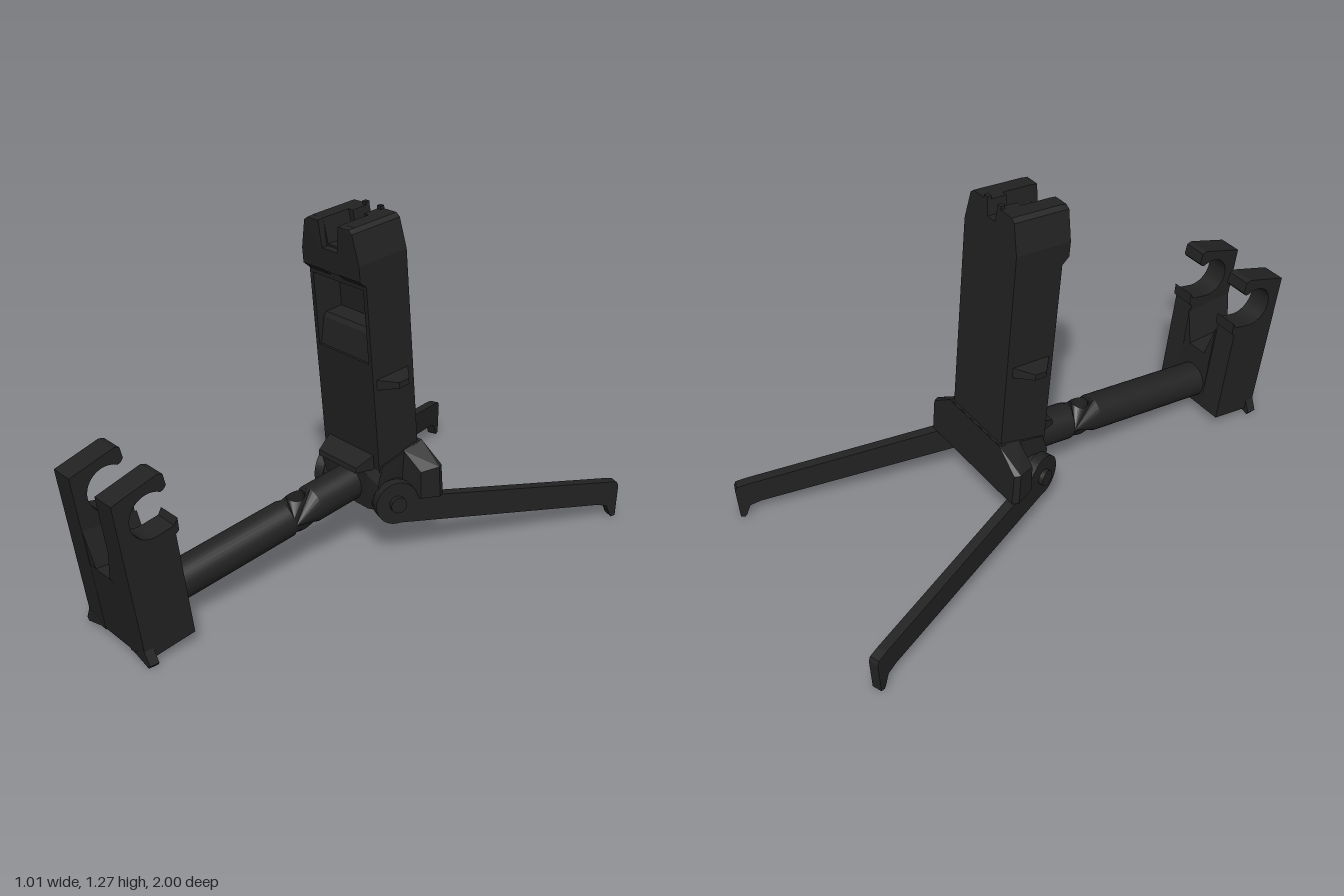
import * as THREE from 'three';
import { ConvexGeometry } from 'three/addons/geometries/ConvexGeometry.js';

const black = new THREE.MeshStandardMaterial({ color: 0x222222 });
black.name = 'matte black';

const V = (x, y, z) => new THREE.Vector3(x, y, z);

function add(parent, name, geometry) {
  const mesh = new THREE.Mesh(geometry, black);
  mesh.name = name;
  parent.add(mesh);
  return mesh;
}

const polygon = pts => new THREE.Shape(pts.map(p => new THREE.Vector2(p[0], p[1])));
const slab = (shape, z0, z1) =>
  new THREE.ExtrudeGeometry(shape, { depth: z1 - z0, bevelEnabled: false, curveSegments: 16 }).translate(0, 0, z0);
// Profile drawn in (z, y), extruded across x
const sideSlab = (shape, x0, x1) => slab(shape, 0, x1 - x0).rotateY(-Math.PI / 2).translate(x1, 0, 0);
// Convex block from points, repeated on both sides of x = 0
const symmetricHull = pts => new ConvexGeometry(pts.flatMap(p => [V(...p), V(-p[0], p[1], p[2])]));
const sideHull = (pts, s) => new ConvexGeometry(pts.map(p => V(p[0] * s, p[1], p[2])));

// Front cradle: two hooked arms on a solid block
function cradle() {
  const g = new THREE.Group();
  g.name = 'frontCradle';
  const arm = new THREE.Shape();
  arm.moveTo(0.912, 0.02);
  [[1.0, 0.6], [0.835, 0.655], [0.815, 0.65], [0.805, 0.61], [0.815, 0.597]].forEach(p => arm.lineTo(...p));
  arm.absarc(0.863, 0.524, 0.078, 2.06, -1.85, true);
  [[0.782, 0.462], [0.77, 0.485], [0.766, 0.44], [0.778, 0.43], [0.725, 0.053]].forEach(p => arm.lineTo(...p));
  arm.closePath();
  const block = polygon([[0.912, 0.025], [0.951, 0.28], [0.752, 0.28], [0.726, 0.053]]);
  add(g, 'cradleBlock', sideSlab(block, -0.075, 0.075));
  for (const s of [-1, 1]) {
    add(g, 'hookArm', s > 0 ? sideSlab(arm, 0.075, 0.165) : sideSlab(arm, -0.165, -0.075));
    // Sloping sides of the slot between the arms
    add(g, 'slotGusset', sideHull([
      [0.076, 0.41, 0.97], [0.076, 0.28, 0.95], [0.04, 0.28, 0.95],
      [0.076, 0.41, 0.767], [0.076, 0.28, 0.752], [0.04, 0.28, 0.752]], s));
    // Flared skid at the front bottom edge
    add(g, 'skid', sideHull([
      [0.16, 0.07, 0.92], [0.188, 0.015, 0.915], [0.18, 0.004, 0.915], [0.1, 0.024, 0.915],
      [0.16, 0.07, 0.885], [0.188, 0.015, 0.88], [0.18, 0.004, 0.88], [0.1, 0.03, 0.88]], s));
  }
  return g;
}

// Round tube with a cross-drilled hole
function tube() {
  const g = new THREE.Group();
  g.name = 'connectingTube';
  g.position.set(0, 0.225, 0.165);
  g.rotation.x = 0.153;
  const r = 0.068, half = 0.06;
  const cyl = (z0, z1) => new THREE.CylinderGeometry(r, r, z1 - z0, 32).rotateX(Math.PI / 2).translate(0, 0, (z0 + z1) / 2);
  add(g, 'tubeFront', cyl(half, 0.62));
  add(g, 'tubeRear', cyl(-0.27, -half));
  // Drilled section: flat plate with a hole, swollen to a round section
  const outline = [];
  for (let i = 0; i <= 16; i++) outline.push([-r * Math.cos(i * Math.PI / 16), -half]);
  for (let i = 0; i <= 16; i++) outline.push([r * Math.cos(i * Math.PI / 16), half]);
  const shape = polygon(outline);
  shape.holes.push(new THREE.Path().absarc(0, 0, 0.033, 0, Math.PI * 2, true));
  const geo = slab(shape, -1, 1).rotateX(Math.PI / 2);
  const p = geo.attributes.position;
  for (let i = 0; i < p.count; i++) {
    p.setY(i, p.getY(i) * Math.sqrt(Math.max(0, r * r - p.getX(i) ** 2)));
  }
  geo.computeVertexNormals();
  add(g, 'drilledSection', geo);
  return g;
}

// Leaning upright with a recess and a notched head
function upright() {
  const g = new THREE.Group();
  g.name = 'upright';
  g.position.set(0, 0.23, -0.29);
  g.rotation.x = 0.101;
  const outline = (bottom, notchX, notchY, floorX) => polygon([
    [-0.145, bottom], [0.145, bottom], [0.145, 0.92], [0.12, 1.025], [0.105, 1.038],
    [notchX, 1.038], [floorX, notchY], [-floorX, notchY], [-notchX, 1.038],
    [-0.105, 1.038], [-0.12, 1.025], [-0.145, 0.92]]);
  add(g, 'backPlate', slab(outline(0, 0.028, 0.985, 0.02), 0, 0.075));

  const frame = outline(0, 0.05, 0.95, 0.035);
  frame.holes.push(new THREE.Path([[-0.128, 0.555], [-0.128, 0.825], [0.128, 0.825], [0.128, 0.555]]
    .map(p => new THREE.Vector2(...p))));
  add(g, 'frontFrame', slab(frame, 0.075, 0.187));
  add(g, 'recessStep', symmetricHull([
    [0.128, 0.55, 0.07], [0.128, 0.55, 0.18], [0.128, 0.65, 0.158], [0.128, 0.665, 0.145], [0.128, 0.665, 0.07]]));

  // Overhanging brow, split by the sighting groove
  for (const s of [-1, 1]) {
    add(g, 'headBrow', sideHull([
      [0.145, 0.84, 0.187], [0.145, 0.865, 0.212], [0.145, 0.92, 0.212], [0.12, 1.025, 0.212], [0.105, 1.036, 0.21],
      [0.145, 0.92, 0.18], [0.12, 1.025, 0.18], [0.105, 1.038, 0.18],
      [0.05, 1.036, 0.21], [0.035, 0.92, 0.212], [0.035, 0.865, 0.212], [0.035, 0.84, 0.187], [0.05, 1.038, 0.18]], s));
    add(g, 'sightPost', new THREE.BoxGeometry(0.018, 0.03, 0.016).translate(0.037 * s, 1.035, 0.008));
    // Side fin
    add(g, 'sideFin', sideHull([
      [0.14, 0.495, 0.02], [0.14, 0.455, 0.02], [0.14, 0.495, 0.175], [0.14, 0.455, 0.175],
      [0.203, 0.485, 0.075], [0.203, 0.463, 0.075], [0.203, 0.485, 0.12], [0.203, 0.463, 0.12]], s));
  }
  add(g, 'browCentre', new THREE.BoxGeometry(0.075, 0.08, 0.026).translate(0, 0.903, 0.199));
  return g;
}

// Flared foot of the upright, holding tube and legs
function base() {
  const g = new THREE.Group();
  g.name = 'base';
  add(g, 'rearFlange', symmetricHull([
    [0.25, 0.235, -0.303], [0.25, 0.355, -0.291], [0.155, 0.42, -0.284], [0.26, 0.235, -0.28], [0.26, 0.355, -0.27],
    [0.235, 0.24, -0.21], [0.235, 0.345, -0.205], [0.15, 0.4, -0.2], [0.13, 0.22, -0.19]]));
  add(g, 'baseCore', symmetricHull([
    [0.15, 0.235, -0.29], [0.155, 0.42, -0.28], [0.15, 0.37, -0.1], [0.15, 0.3, -0.08],
    [0.14, 0.19, -0.1], [0.1, 0.19, -0.08], [0.1, 0.33, -0.07]]));
  add(g, 'frontLip', symmetricHull([
    [0.1, 0.35, -0.018], [0.1, 0.37, -0.02], [0.12, 0.41, -0.09], [0.12, 0.35, -0.1], [0.12, 0.42, -0.15]]));
  return g;
}

// Splayed folding leg with hooked toe and hinge hardware
function leg(s) {
  const g = new THREE.Group();
  g.name = s > 0 ? 'leftLeg' : 'rightLeg';
  g.position.set(0.18 * s, 0, -0.137);
  const splay = 0.344, turn = Math.PI / 2 - splay;
  g.rotation.y = s > 0 ? turn : Math.PI - turn;
  const shape = new THREE.Shape();
  shape.absarc(0, 0.232, 0.08, 0.2, -1.4, false);
  [[0.828, 0.068], [0.868, 0.06], [0.885, 0.015], [0.892, 0.006], [0.908, 0.01],
    [0.912, 0.135], [0.905, 0.15], [0.869, 0.157], [0.078, 0.248]]
    .reverse().forEach(p => shape.lineTo(...p));
  // The arc runs the long way round the hinge, the rest closes along the bar
  const bar = new THREE.Shape();
  bar.absarc(0, 0.232, 0.08, 0.2, 2 * Math.PI - 1.4, false);
  [[0.828, 0.068], [0.868, 0.056], [0.885, 0.015], [0.892, 0.006], [0.908, 0.01],
    [0.912, 0.135], [0.905, 0.15], [0.869, 0.157]].forEach(p => bar.lineTo(...p));
  bar.closePath();
  add(g, 'legBar', slab(bar, -0.018, 0.018));
  const disc = (r, z, depth) => new THREE.CylinderGeometry(r, r, depth, 24).rotateX(Math.PI / 2).translate(0, 0.232, z * s);
  add(g, 'hingeLug', disc(0.075, -0.045, 0.06));
  add(g, 'hingeScrew', disc(0.03, 0.02, 0.03));
  return g;
}

export function createModel() {
  const model = new THREE.Group();
  model.name = 'foldingStand';
  model.add(cradle(), tube(), upright(), base(), leg(1), leg(-1));
  return model;
}
